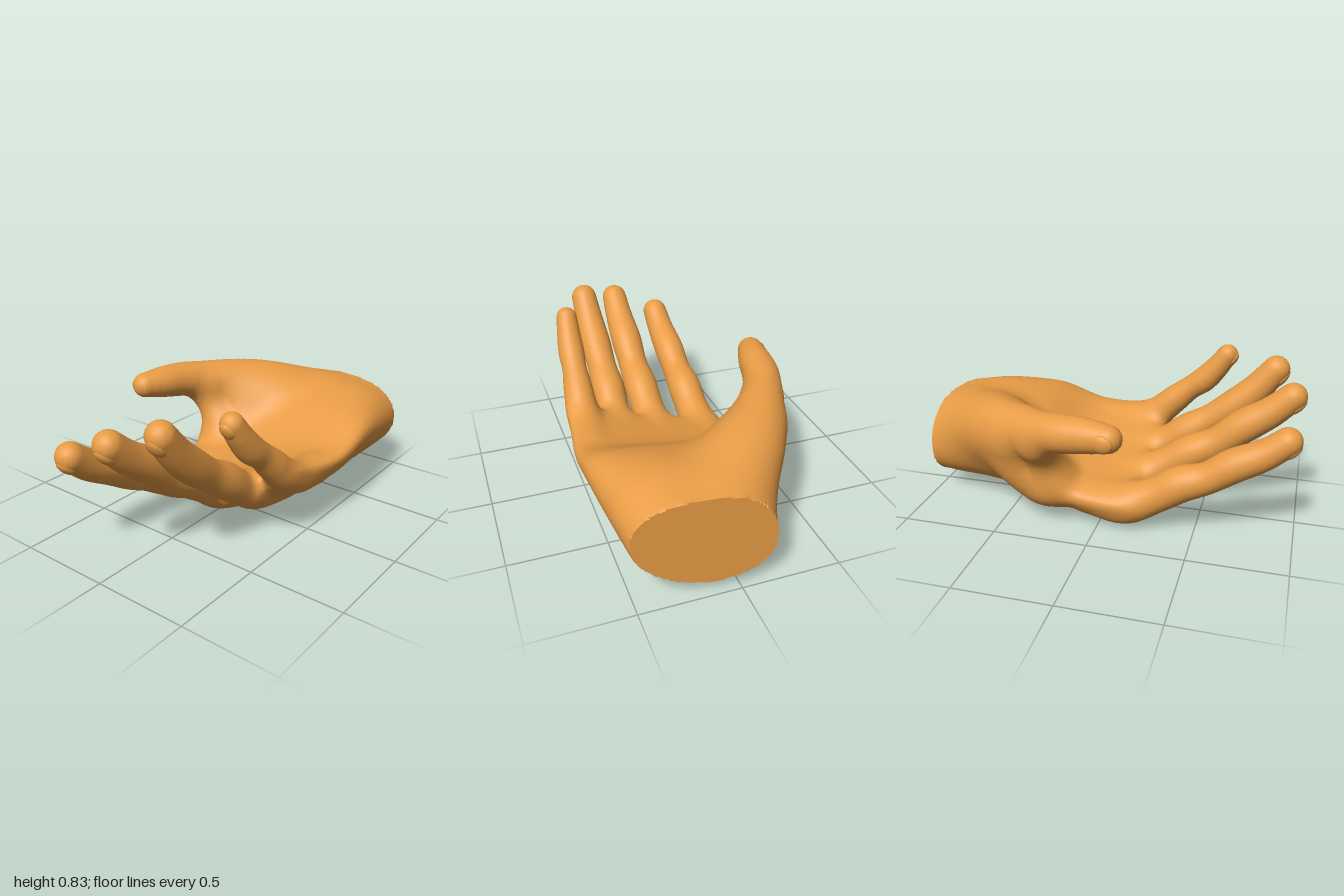
import * as THREE from 'three';
import { toCreasedNormals } from 'three/addons/utils/BufferGeometryUtils.js';

const material = new THREE.MeshStandardMaterial({ color: 0xe89c46 });

// Bone chains: [x, y, z, radius] from the palm out to the tip
const CHAINS = {
  indexFinger: [[.05, .13, -.24, .08], [-.13, .115, -.24, .107], [-.3, .19, -.235, .095], [-.42, .265, -.232, .096],
    [-.55, .315, -.23, .083], [-.68, .4, -.225, .087], [-.82, .472, -.22, .078], [-.927, .555, -.215, .071]],
  middleFinger: [[.05, .13, .03, .1], [-.15, .15, .03, .106], [-.3, .235, .038, .093], [-.43, .32, .04, .095],
    [-.56, .39, .043, .084], [-.69, .497, .045, .089], [-.82, .587, .047, .08], [-.927, .685, .048, .071]],
  ringFinger: [[.05, .18, .25, .1], [-.12, .195, .25, .1], [-.27, .275, .25, .09], [-.38, .355, .248, .094],
    [-.5, .435, .248, .082], [-.62, .527, .25, .087], [-.73, .632, .255, .08], [-.825, .75, .26, .071]],
  littleFinger: [[.1, .29, .46, .07], [-.05, .305, .455, .08], [-.17, .37, .448, .084], [-.26, .452, .445, .079],
    [-.35, .533, .44, .067], [-.43, .597, .435, .071], [-.5, .68, .43, .064], [-.55, .755, .425, .056]],
  thumb: [[.88, .31, .05, .16], [.72, .4, -.1, .15], [.55, .47, -.23, .155], [.4, .525, -.33, .125],
    [.25, .56, -.415, .102], [.13, .58, -.46, .097], [0, .595, -.485, .087], [-.12, .603, -.513, .068]],
};
// Skin between thumb and palm, and the muscle behind it
const WEB = [[.275, .47, -.4, .08], [.27, .35, -.32, .08], [.275, .22, -.265, .09],
  [.4, .32, -.28, .115], [.42, .44, -.31, .12]];
const MUSCLE = [[.3, .2, -.25, .095], [.45, .36, -.2, .14], [.6, .4, -.1, .17], [.8, .34, .02, .17]];

// Palm sections: x, z centre, half width, y centre, half thickness, tilt, cup
const PALM = [
  [-.2, .085, .435, .17, .1, .13, .1],
  [0, .09, .458, .145, .133, .1, .11],
  [.2, .108, .467, .165, .152, .08, .1],
  [.45, .137, .44, .25, .213, .06, .08],
  [.7, .168, .378, .29, .24, .05, .02],
  [.95, .172, .335, .28, .232, .035, 0],
];

const smin = (a, b, k) => {
  const h = Math.max(k - Math.abs(a - b), 0) / k;
  return Math.min(a, b) - h * h * k * .25;
};

const curveOf = (pts) => new THREE.CubicInterpolant(pts.map((_, i) => i), pts.flat(), 4);

// Distance to a smooth tube of varying radius
function tubeField(pts, steps = 40) {
  const curve = curveOf(pts), s = [];
  for (let i = 0; i <= steps; i++) s.push([...curve.evaluate(i / steps * (pts.length - 1))]);
  return (x, y, z) => {
    let best = 1e9;
    for (let i = 0; i < steps; i++) {
      const a = s[i], b = s[i + 1];
      const bx = b[0] - a[0], by = b[1] - a[1], bz = b[2] - a[2];
      const px = x - a[0], py = y - a[1], pz = z - a[2];
      const t = Math.min(1, Math.max(0, (px * bx + py * by + pz * bz) / (bx * bx + by * by + bz * bz)));
      const dx = px - t * bx, dy = py - t * by, dz = pz - t * bz;
      best = Math.min(best, Math.sqrt(dx * dx + dy * dy + dz * dz) - a[3] - t * (b[3] - a[3]));
    }
    return best;
  };
}

// Distance to the cupped elliptical palm
const palmCurve = new THREE.CubicInterpolant(PALM.map((p) => p[0]), PALM.flatMap((p) => p.slice(1)), 6);
function palmField(x, y, z) {
  const [zc, hw, yc, ht, tilt, cup] = palmCurve.evaluate(x);
  const u = (z - zc) / hw, uc = Math.max(-1.3, Math.min(1.3, u));
  const v = (y - yc - tilt * uc - cup * uc * uc) / ht;
  const len = Math.hypot(u, v) + 1e-6;
  const d = (len - 1) * len / (Math.hypot(u / hw, v / ht) + 1e-6);
  return -smin(-d, x + .22, .1);
}

const tubes = Object.fromEntries(Object.entries(CHAINS).map(([n, c]) => [n, tubeField(c)]));
const fingers = Object.keys(CHAINS).filter((n) => n !== 'thumb');
const web = tubeField(WEB), muscle = tubeField(MUSCLE);
const wristCut = (x, z) => x + .107 * z - .983;

// The whole hand: blended parts cut by the slanted wrist plane
function handField(x, y, z) {
  let d = smin(palmField(x, y, z), muscle(x, y, z), .14);
  d = smin(d, smin(tubes.thumb(x, y, z), web(x, y, z), .1), .12);
  let f = 1e9;
  for (const n of fingers) f = Math.min(f, tubes[n](x, y, z));
  return Math.max(smin(d, f, .05), wristCut(x, z));
}

// Skin the field with one vertex per crossed grid cell
function skin(field, min, max, h) {
  const [nx, ny, nz] = min.map((m, i) => Math.ceil((max[i] - m) / h) + 1);
  const step = [1, nx, nx * ny], val = new Float32Array(nx * ny * nz);
  const ids = new Int32Array(val.length).fill(-1), pos = [], index = [];
  const each = (lo, hi, fn) => {
    for (let k = lo; k < nz - hi; k++) for (let j = lo; j < ny - hi; j++)
      for (let i = lo; i < nx - hi; i++) fn(i, j, k, i + nx * (j + ny * k));
  };
  each(0, 0, (i, j, k, n) => { val[n] = field(min[0] + i * h, min[1] + j * h, min[2] + k * h); });
  each(0, 1, (i, j, k, n) => {
    const c = [], p = [0, 0, 0];
    let count = 0;
    for (let a = 0; a < 8; a++) c.push(val[n + (a & 1) + (a >> 1 & 1) * nx + (a >> 2) * step[2]]);
    for (let a = 0; a < 8; a++) for (let ax = 0; ax < 3; ax++) {
      const b = a | 1 << ax;
      if (b === a || (c[a] < 0) === (c[b] < 0)) continue;
      for (let m = 0; m < 3; m++) p[m] += (a >> m & 1) + (m === ax ? c[a] / (c[a] - c[b]) : 0);
      count++;
    }
    if (!count) return;
    let [x, y, z] = [i, j, k].map((g, m) => min[m] + (g + p[m] / count) * h);
    const cut = wristCut(x, z);
    if (cut > -h * .6) x -= cut; // sharp wrist edge
    else if (cut < -.03) { // pull the vertex onto the surface
      const e = .002, d = field(x, y, z);
      const g = [field(x + e, y, z) - d, field(x, y + e, z) - d, field(x, y, z + e) - d].map((q) => q / e);
      const s = Math.max(-h / 2, Math.min(h / 2, d)) / Math.max(.5, g[0] ** 2 + g[1] ** 2 + g[2] ** 2);
      x -= g[0] * s; y -= g[1] * s; z -= g[2] * s;
    }
    ids[n] = pos.length / 3;
    pos.push(x, y, z);
  });
  each(1, 1, (i, j, k, n) => {
    for (let a = 0; a < 3; a++) {
      const inside = val[n] < 0;
      if (inside === (val[n + step[a]] < 0)) continue;
      const sb = step[(a + 1) % 3], sc = step[(a + 2) % 3];
      const q = [n - sb - sc, n - sc, n, n - sb].map((m) => ids[m]);
      if (!inside) q.reverse();
      index.push(q[0], q[1], q[2], q[0], q[2], q[3]);
    }
  });
  const geo = new THREE.BufferGeometry();
  geo.setAttribute('position', new THREE.Float32BufferAttribute(pos, 3));
  geo.setIndex(index);
  return toCreasedNormals(geo, .65);
}

// Name of the part a skin point belongs to
function partAt(x, y, z) {
  if (x > -.2) return x < .25 && tubes.thumb(x, y, z) < palmField(x, y, z) ? 'thumb' : 'palm';
  return Object.keys(tubes).reduce((a, b) => (tubes[b](x, y, z) < tubes[a](x, y, z) ? b : a));
}

// Flattened oval nail on the back of a fingertip
function makeNail(name, chain) {
  const curve = curveOf(chain), end = chain.length - 1;
  const tip = new THREE.Vector3(...curve.evaluate(end).slice(0, 3));
  const [x, y, z, r] = [...curve.evaluate(end - .25)];
  const along = tip.sub(new THREE.Vector3(x, y, z)).normalize();
  const out = name === 'thumb' ? new THREE.Vector3(0, -.15, -1) : new THREE.Vector3(-.5, -1, 0);
  out.addScaledVector(along, -out.dot(along)).normalize();
  const nail = new THREE.Mesh(new THREE.SphereGeometry(1, 24, 16), material);
  nail.name = name + 'Nail';
  nail.scale.set(r * .85, r * .4, r * .68);
  nail.quaternion.setFromRotationMatrix(
    new THREE.Matrix4().makeBasis(along, out, along.clone().cross(out)));
  nail.position.set(x, y, z).addScaledVector(out, r * .69).addScaledVector(along, r * .25);
  return nail;
}

export function createModel() {
  const hand = new THREE.Group();
  hand.name = 'hand';
  const geo = skin(handField, [-1.06, -.08, -.68], [1.06, .9, .68], .016);

  // Divide the seamless skin into named parts
  const p = geo.attributes.position.array, nrm = geo.attributes.normal.array, parts = {};
  for (let i = 0; i < p.length; i += 9) {
    const part = parts[partAt(p[i], p[i + 1], p[i + 2])] ??= { pos: [], nor: [] };
    for (let j = i; j < i + 9; j++) { part.pos.push(p[j]); part.nor.push(nrm[j]); }
  }
  for (const [name, { pos, nor }] of Object.entries(parts)) {
    const g = new THREE.BufferGeometry();
    g.setAttribute('position', new THREE.Float32BufferAttribute(pos, 3));
    g.setAttribute('normal', new THREE.Float32BufferAttribute(nor, 3));
    const mesh = new THREE.Mesh(g, material);
    mesh.name = name;
    hand.add(mesh);
  }
  for (const [name, chain] of Object.entries(CHAINS)) hand.add(makeNail(name, chain));

  // Rest on the ground
  hand.position.y = -new THREE.Box3().setFromObject(hand).min.y;
  const model = new THREE.Group();
  model.add(hand);
  return model;
}
